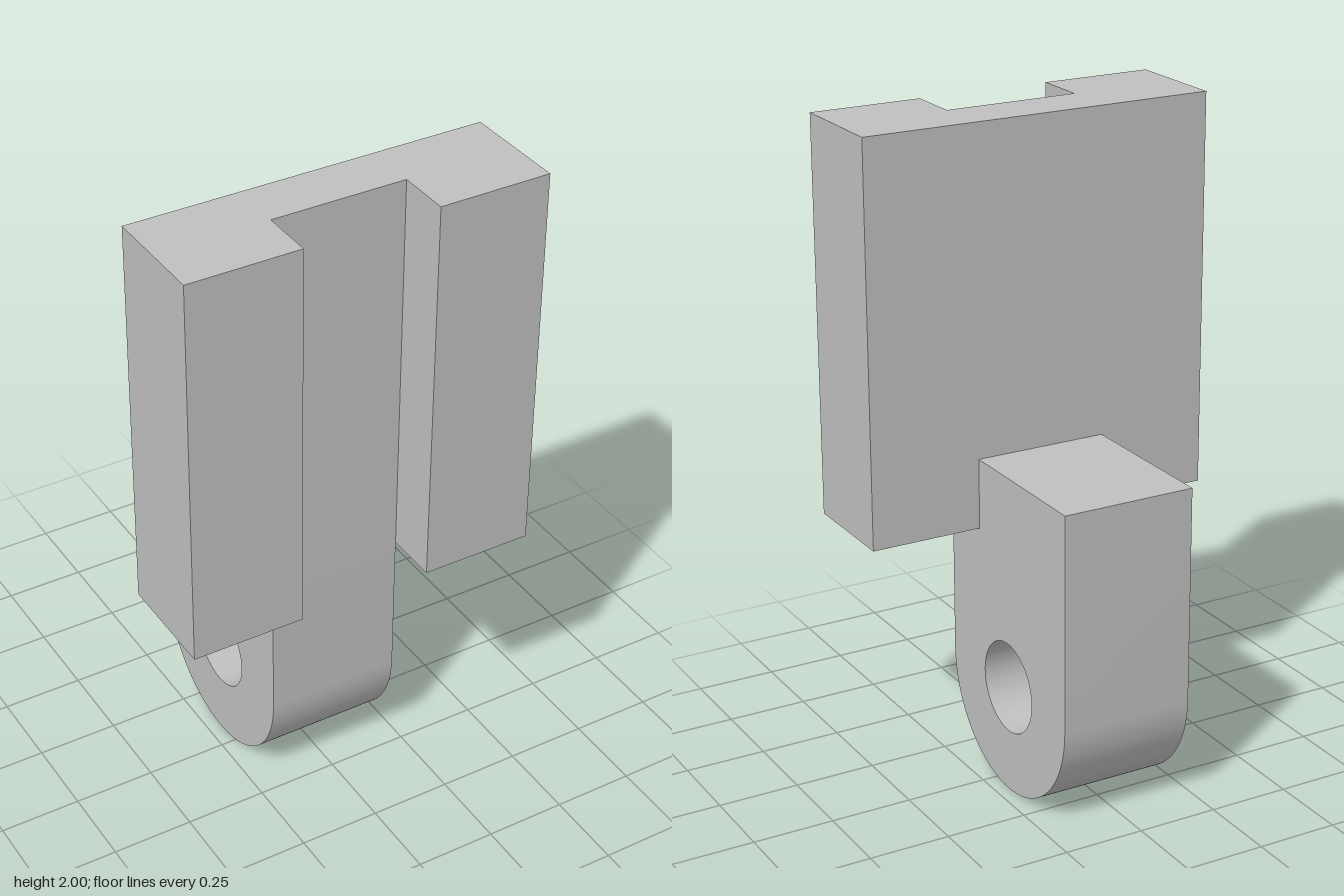
import * as THREE from 'three';
import { toCreasedNormals } from 'three/addons/utils/BufferGeometryUtils.js';

const HALF_WIDTH = 0.555;    // bracket half width
const HALF_CHANNEL = 0.208;  // channel and lug half width
const BACK = 0.083, CHANNEL_FLOOR = 0.25, FRONT = 0.417;
const BOTTOM = 0.783, TOP = 2;
const RADIUS = 0.333, PIVOT_Z = -0.083, HOLE_RADIUS = 0.141;

function extrude(shape, depth) {
  return new THREE.ExtrudeGeometry(shape, { depth, bevelEnabled: false, curveSegments: 48 });
}

export function createModel() {
  const grey = new THREE.MeshStandardMaterial({ color: 0xbfbfbf });
  grey.name = 'light grey';
  const model = new THREE.Group();
  model.name = 'pivotBracket';

  // Channel bracket: U-shaped plan (x, -z) extruded upwards
  const plan = new THREE.Shape([
    [-HALF_WIDTH, -FRONT], [-HALF_CHANNEL, -FRONT],
    [-HALF_CHANNEL, -CHANNEL_FLOOR], [HALF_CHANNEL, -CHANNEL_FLOOR],
    [HALF_CHANNEL, -FRONT], [HALF_WIDTH, -FRONT],
    [HALF_WIDTH, -BACK], [-HALF_WIDTH, -BACK],
  ].map(([x, y]) => new THREE.Vector2(x, y)));
  const bracketGeometry = extrude(plan, TOP - BOTTOM);
  bracketGeometry.rotateX(-Math.PI / 2).translate(0, BOTTOM, 0);
  const bracket = new THREE.Mesh(bracketGeometry, grey);
  bracket.name = 'channelBracket';

  // Pivot lug: side profile (z, y) with round foot, stepped top and pin hole
  const profile = new THREE.Shape();
  profile.moveTo(PIVOT_Z - RADIUS, 1);
  profile.lineTo(PIVOT_Z - RADIUS, RADIUS);
  profile.absarc(PIVOT_Z, RADIUS, RADIUS, Math.PI, 2 * Math.PI, false);
  profile.lineTo(CHANNEL_FLOOR, BOTTOM);
  profile.lineTo(BACK, BOTTOM);
  profile.lineTo(BACK, 1);
  profile.closePath();
  const hole = new THREE.Path();
  hole.absarc(PIVOT_Z, RADIUS + 0.002, HOLE_RADIUS, 0, 2 * Math.PI, true);
  profile.holes.push(hole);
  const lugGeometry = extrude(profile, 2 * HALF_CHANNEL);
  lugGeometry.rotateY(-Math.PI / 2).translate(HALF_CHANNEL, 0, 0);
  const lug = new THREE.Mesh(toCreasedNormals(lugGeometry, 0.5), grey);
  lug.name = 'pivotLug';

  model.add(bracket, lug);
  return model;
}
